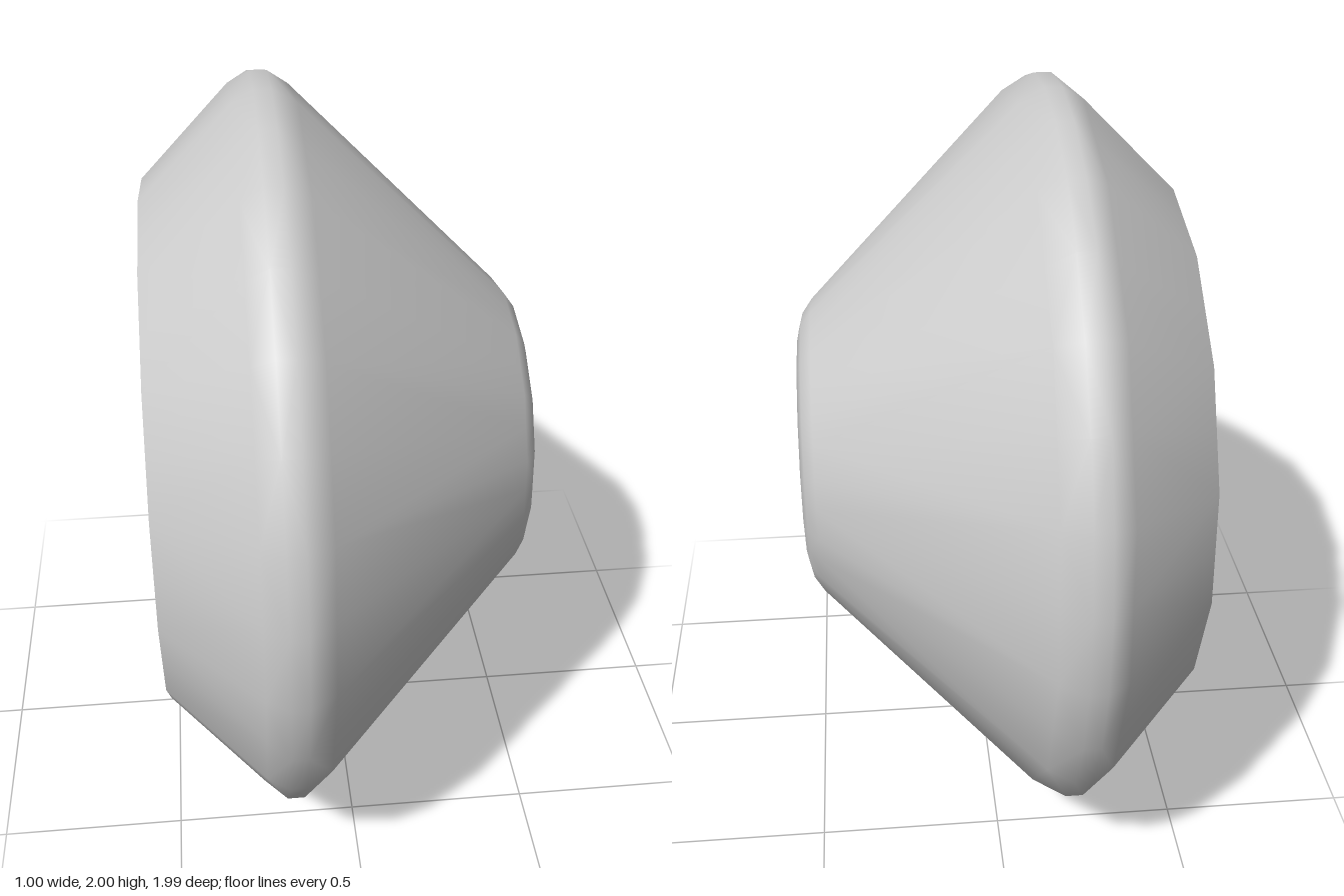
import * as THREE from 'three';

const SIDES = 30;

// Profile rows along x: position, radius, normal (along x, outward), fine = 30-sided, else 15-sided
const ROWS = [
  { x: -0.5, r: 0, nx: -1, nr: 0 },            // flat back
  { x: -0.5, r: 0.722, nx: -1, nr: 0 },
  { x: -0.5, r: 0.722, nx: -0.7, nr: 0.7, sharp: true }, // back cone
  { x: -0.255, r: 0.968, nx: -0.65, nr: 0.75 },
  { x: -0.2, r: 1, nx: -0.15, nr: 1, fine: true },      // rounded rim
  { x: -0.155, r: 1, nx: 0.15, nr: 1, fine: true },
  { x: -0.09, r: 0.962, nx: 0.65, nr: 0.75 },  // front cone
  { x: 0.46, r: 0.41, nx: 0.72, nr: 0.7 },
  { x: 0.488, r: 0.37, nx: 0.9, nr: 0.43 },    // softened edge of the small end
  { x: 0.5, r: 0.325, nx: 1, nr: 0 },
  { x: 0.5, r: 0, nx: 1, nr: 0 },              // flat small end
];

function buildBody() {
  const pos = [], nor = [], index = [];
  const n = new THREE.Vector3();
  for (const { x, r, nx, nr, fine } of ROWS) {
    for (let j = 0; j <= SIDES; j++) {
      const a = (j / SIDES) * Math.PI * 2;
      // on 15-sided rows every odd point is the middle of an edge
      const rad = !fine && j % 2 ? r * Math.cos(Math.PI / 15) : r;
      pos.push(x, 1 + rad * Math.cos(a), rad * Math.sin(a));
      n.set(nx, nr * Math.cos(a), nr * Math.sin(a)).normalize();
      nor.push(n.x, n.y, n.z);
    }
  }
  for (let i = 0; i < ROWS.length - 1; i++) {
    if (ROWS[i + 1].sharp) continue;
    for (let j = 0; j < SIDES; j++) {
      const a = i * (SIDES + 1) + j, b = a + 1;
      const c = a + SIDES + 1, d = c + 1;
      // alternate diagonals so coarse rows fan into fine ones
      if (!!ROWS[i].fine !== (j % 2 === 1)) index.push(a, b, c, b, d, c);
      else index.push(a, b, d, a, d, c);
    }
  }
  const geo = new THREE.BufferGeometry();
  geo.setAttribute('position', new THREE.Float32BufferAttribute(pos, 3));
  geo.setAttribute('normal', new THREE.Float32BufferAttribute(nor, 3));
  geo.setIndex(index);
  return geo;
}

export function createModel() {
  const group = new THREE.Group();
  const body = new THREE.Mesh(buildBody(), new THREE.MeshStandardMaterial({ color: 0xcccccc }));
  body.name = 'bevelledDisc';
  group.add(body);
  return group;
}
